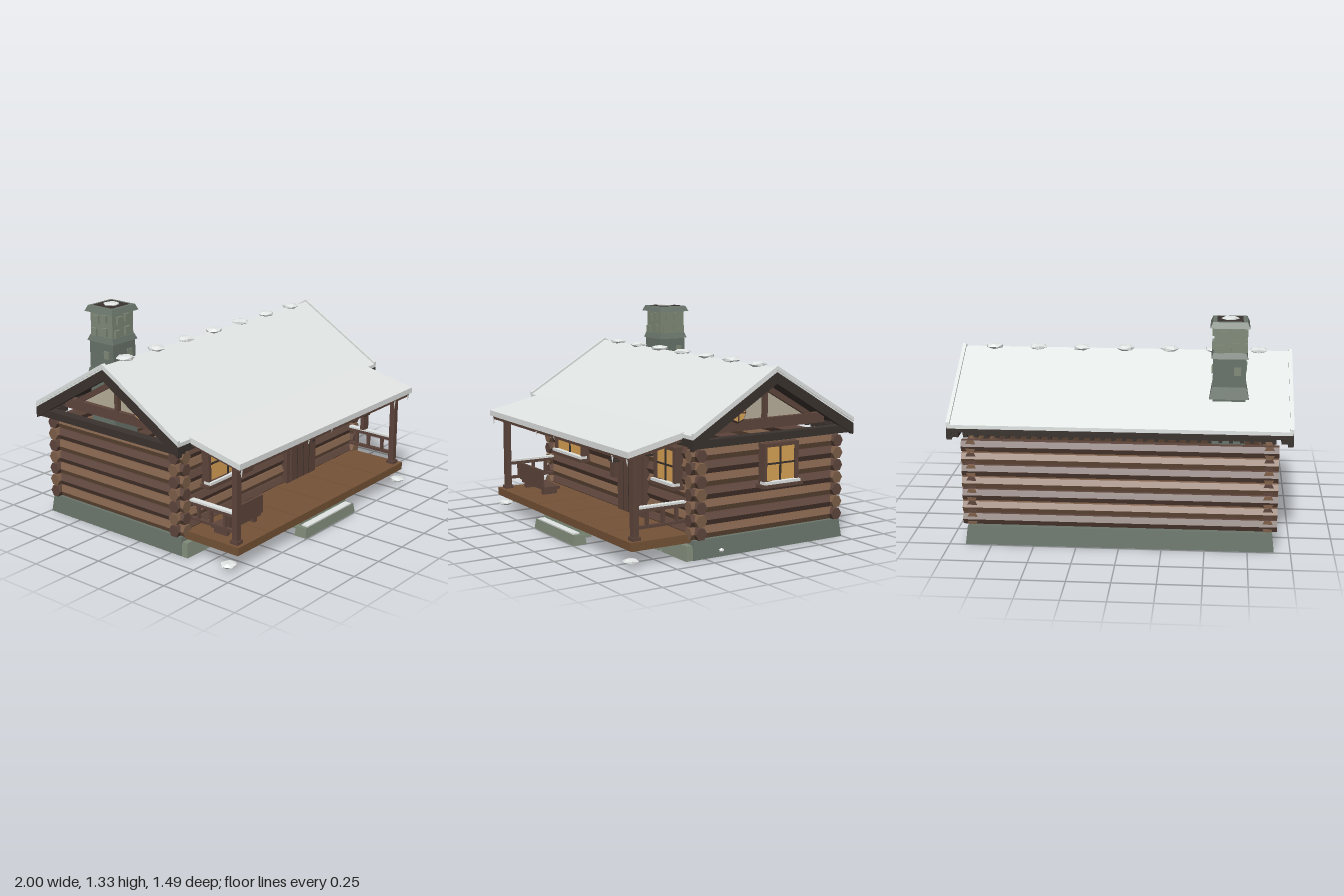
import * as THREE from 'three';

const mats = {};
const mat = (color) => (mats[color] ??= new THREE.MeshStandardMaterial({ color, flatShading: true, side: THREE.DoubleSide }));
const LOGS = [0x5d453b, 0x7d5e48], WOOD = 0x5d453b, DARK = 0x3a322e, DECK = 0x745236, SNOW = 0xe0e4e2;
const STONE = 0x69746a, PALE = 0x7f8a78, GLOW = 0xd9a255, PLASTER = 0xb8ae9a;

export function createModel() {
  const model = new THREE.Group();
  const add = (name, geo, color, x = 0, y = 0, z = 0, parent = model) => {
    const m = new THREE.Mesh(geo, mat(color));
    m.name = name;
    m.position.set(x, y, z);
    parent.add(m);
    return m;
  };
  // box given by its min and max on each axis
  const box = (name, color, [x0, x1], [y0, y1], [z0, z1], parent) =>
    add(name, new THREE.BoxGeometry(x1 - x0, y1 - y0, z1 - z0), color, (x0 + x1) / 2, (y0 + y1) / 2, (z0 + z1) / 2, parent);
  // box with its top face shrunk inward
  const tapered = (name, color, w, h, d, inset, x, y, z) => {
    const g = new THREE.BoxGeometry(w, h, d), p = g.attributes.position;
    for (let i = 0; i < p.count; i++) {
      if (p.getY(i) < 0) continue;
      p.setX(i, p.getX(i) - Math.sign(p.getX(i)) * inset);
      p.setZ(i, p.getZ(i) - Math.sign(p.getZ(i)) * inset);
    }
    return add(name, g, color, x, y, z);
  };
  // outline in (z, y) extruded along x
  const prism = (name, color, pts, x0, x1) => {
    const shape = new THREE.Shape(pts.map(([z, y]) => new THREE.Vector2(-z, y)));
    const g = new THREE.ExtrudeGeometry(shape, { depth: x1 - x0, bevelEnabled: false });
    return add(name, g.rotateY(Math.PI / 2), color, x0);
  };
  const lump = (name, r, x, y, z, turn = 0, squash = 0.33) => {
    const m = add(name, new THREE.IcosahedronGeometry(r, 0), SNOW, x, y, z);
    m.scale.y = squash;
    m.rotation.y = turn;
    return m;
  };

  // Stone base
  tapered('foundation', STONE, 1.81, 0.11, 1.075, 0.013, 0, 0.055, -0.207);
  for (const [x, w] of [[-0.77, 0.27], [-0.46, 0.3], [0.46, 0.3], [0.77, 0.26]])
    tapered('foundationStone', PALE, w, 0.085, 0.06, 0.012, x, 0.0425, 0.345);

  // Log walls: seven rows of six-sided logs with crossing ends
  for (let i = 0; i < 7; i++) {
    const y = 0.149 + i * 0.0745, color = LOGS[i % 2];
    for (const z of [0.285, -0.69])
      add('longLog', new THREE.CylinderGeometry(0.038, 0.038, 1.84, 6).rotateZ(Math.PI / 2), color, 0, y, z);
    for (const x of [-0.865, 0.865])
      add('sideLog', new THREE.CylinderGeometry(0.038, 0.038, 1.06, 6).rotateY(Math.PI / 2).rotateX(Math.PI / 2),
        LOGS[(i + 1) % 2], x, y, -0.19);
  }

  // Main roof: chevrons measured by drop below the snow surface
  const RZ = -0.173;
  const chevron = (top, bottom) => [[0.395, 0.73 - top], [RZ, 1.07 - top], [-0.741, 0.73 - top],
    [-0.741, 0.73 - bottom], [RZ, 1.07 - bottom], [0.395, 0.73 - bottom]];
  prism('roofSnow', SNOW, chevron(0, 0.022), -0.995, 0.995);
  prism('roofBoards', DARK, chevron(0.022, 0.045), -0.985, 0.985);
  for (const s of [-1, 1]) {
    const span = (a, b) => (s > 0 ? [a, b] : [-b, -a]);
    prism('bargeboard', DARK, chevron(0.022, 0.088), ...span(0.965, 0.998));
    prism('snowLip', SNOW, chevron(-0.014, 0.01), ...span(0.978, 1));
    box('tieBeam', DARK, span(0.93, 0.99), [0.655, 0.7], [-0.735, 0.39]);

    // Gable: plaster triangle, framing and round window
    prism('gablePlaster', PLASTER, [[0.27, 0.712], [RZ, 0.965], [-0.616, 0.712]], ...span(0.845, 0.865));
    box('gableSill', WOOD, span(0.85, 0.895), [0.712, 0.772], [-0.6, 0.25]);
    box('kingPost', WOOD, span(0.86, 0.895), [0.77, 0.96], [RZ - 0.012, RZ + 0.012]);
    prism('gableRafters', WOOD, [[0.27, 0.712], [RZ, 0.975], [-0.616, 0.712], [-0.56, 0.712], [RZ, 0.935], [0.13, 0.712]],
      ...span(0.86, 0.89));
    const round = new THREE.Group();
    round.name = 'roundWindow';
    round.position.set(s * 0.905, 0.82, 0.035);
    model.add(round);
    add('roundFrame', new THREE.TorusGeometry(0.052, 0.01, 4, 8).rotateY(Math.PI / 2), WOOD, 0, 0, 0, round);
    add('roundPane', new THREE.CylinderGeometry(0.05, 0.05, 0.02, 8).rotateZ(Math.PI / 2), GLOW, 0, 0, 0, round);
    box('roundBar', WOOD, [-0.014, 0.014], [-0.05, 0.05], [-0.004, 0.004], round);
    box('roundBar', WOOD, [-0.014, 0.014], [-0.004, 0.004], [-0.05, 0.05], round);
  }
  box('frontFascia', DARK, [-0.97, 0.97], [0.66, 0.7], [0.36, 0.385]);
  box('backFascia', DARK, [-0.9, 0.9], [0.672, 0.7], [-0.746, -0.725]);
  for (let i = 0; i < 30; i++) box('rafterTail', DARK, [-0.9 + i * 0.0613, -0.878 + i * 0.0613], [0.655, 0.69], [-0.735, -0.66]);
  for (let i = 0; i < 7; i++) lump('ridgeSnow', 0.058, -0.8 + i * 0.267, 1.075, -0.178, i * 1.3);

  // Porch roof
  const slab = (top, bottom) => [[0.745, 0.66 - top], [0.335, 0.75 - top], [0.335, 0.75 - bottom], [0.745, 0.66 - bottom]];
  prism('porchSnow', SNOW, slab(0, 0.035), -0.89, 0.89);
  prism('porchRoofBoards', WOOD, slab(0.035, 0.055).map(([z, y]) => [z - 0.01, y]), -0.87, 0.87);
  [[-0.86, 0.05], [-0.235, 0.03], [0, 0.02], [0.7, 0.05], [0.86, 0.04]].forEach(([x, h]) =>
    add('icicle', new THREE.ConeGeometry(0.008, h, 5).rotateX(Math.PI), SNOW, x, 0.615 - h / 2, 0.733));

  // Porch deck, steps, posts and railings
  for (let i = 0; i < 6; i++) box('deckBoard', DECK, [-0.86 + i * 0.287, -0.577 + i * 0.287], [0.1, 0.145], [0.3, 0.712]);
  box('deckFrame', DECK, [-0.86, 0.86], [0.095, 0.138], [0.3, 0.708]);
  tapered('lowerStep', PALE, 0.52, 0.06, 0.085, 0.008, 0, 0.03, 0.7025);
  tapered('upperStep', PALE, 0.48, 0.055, 0.08, 0.008, 0, 0.0625, 0.655);
  box('stepSnow', SNOW, [-0.23, 0.23], [0.06, 0.068], [0.69, 0.735]);
  for (const x of [-0.813, 0.813]) {
    box('porchPost', WOOD, [x - 0.018, x + 0.018], [0.145, 0.64], [0.643, 0.68]);
    box('postFoot', WOOD, [x - 0.026, x + 0.026], [0.145, 0.165], [0.635, 0.688]);
    box('handrail', WOOD, [x - 0.016, x + 0.016], [0.3, 0.32], [0.33, 0.65]);
    box('handrailSnow', SNOW, [x - 0.018, x + 0.018], [0.32, 0.332], [0.33, 0.645]);
    box('lowerRail', WOOD, [x - 0.012, x + 0.012], [0.205, 0.222], [0.33, 0.65]);
    for (const z of [0.385, 0.475, 0.58]) box('baluster', WOOD, [x - 0.009, x + 0.009], [0.21, 0.31], [z - 0.009, z + 0.009]);
  }
  lump('groundSnow', 0.055, -0.875, 0.035, 0.655, 0.4);
  lump('groundSnow', 0.05, 0.83, 0.035, 0.695, 1.2);
  lump('baseSnow', 0.018, 0.9, 0.035, 0.135, 0, 0.8);

  // Bench
  box('benchSeat', WOOD, [-0.79, -0.47], [0.178, 0.198], [0.455, 0.57]);
  box('benchBack', WOOD, [-0.79, -0.47], [0.2, 0.31], [0.568, 0.584]);
  for (const x of [-0.76, -0.51]) box('benchLeg', WOOD, [x - 0.015, x + 0.015], [0.145, 0.18], [0.465, 0.56]);

  // Windows, built facing +z and turned onto their wall
  const window_ = (w, h, x, y, z, turn) => {
    const g = new THREE.Group(), a = w / 2, b = h / 2, t = 0.022;
    g.name = 'window';
    g.position.set(x, y, z);
    g.rotation.y = turn;
    model.add(g);
    box('pane', GLOW, [-a, a], [-b, b], [-0.01, 0.02], g);
    for (const s of [-1, 1]) {
      box('frameSide', WOOD, [s * (a + t / 2) - t / 2, s * (a + t / 2) + t / 2], [-b - t, b + t], [-0.02, 0.035], g);
      box('frameRail', WOOD, [-a, a], [s * (b + t / 2) - t / 2, s * (b + t / 2) + t / 2], [-0.02, 0.035], g);
    }
    box('upright', DARK, [-0.005, 0.005], [-b, b], [0.01, 0.027], g);
    box('crossbar', DARK, [-a, a], [-0.005, 0.005], [0.01, 0.027], g);
    box('sillSnow', SNOW, [-a - 0.025, a + 0.025], [-b - 0.016, b * -1], [0, 0.052], g);
    box('sill', WOOD, [-a - 0.04, a + 0.04], [-b - 0.036, -b - 0.016], [-0.02, 0.055], g);
  };
  window_(0.33, 0.205, -0.515, 0.505, 0.332, 0);
  window_(0.185, 0.185, 0.652, 0.515, 0.332, 0);
  window_(0.205, 0.2, 0.915, 0.51, -0.248, Math.PI / 2);

  // Door
  box('doorFrame', WOOD, [0.085, 0.39], [0.145, 0.615], [0.3, 0.345]);
  box('doorLeaf', WOOD, [0.115, 0.36], [0.155, 0.605], [0.3, 0.358]);
  for (let i = 1; i < 4; i++) box('doorGroove', DARK, [0.113 + i * 0.062, 0.116 + i * 0.062], [0.155, 0.605], [0.35, 0.36]);
  for (const x of [0.212, 0.264]) for (const y of [0.545, 0.584]) box('doorPane', GLOW, [x - 0.021, x + 0.021], [y - 0.016, y + 0.016], [0.35, 0.363]);
  box('doorHandle', DARK, [0.33, 0.34], [0.36, 0.4], [0.355, 0.375]);

  // Wall lantern and hanging box
  box('lanternGlass', GLOW, [0.432, 0.468], [0.545, 0.595], [0.335, 0.365]);
  for (const y of [0.535, 0.595]) box('lanternCap', DARK, [0.422, 0.478], [y, y + 0.012], [0.32, 0.372]);
  for (const x of [0.432, 0.468]) box('lanternBar', DARK, [x - 0.004, x + 0.004], [0.54, 0.6], [0.355, 0.368]);
  box('hangingBox', WOOD, [0.5, 0.553], [0.45, 0.54], [0.61, 0.636]);
  box('hangingBoxLid', DARK, [0.495, 0.558], [0.54, 0.55], [0.605, 0.642]);
  box('hangingRod', DARK, [0.523, 0.53], [0.55, 0.64], [0.619, 0.626]);

  // Chimney
  const cx = -0.627, cz = -0.447;
  const course = (name, color, w, y0, y1) => box(name, color, [cx - w / 2, cx + w / 2], [y0, y1], [cz - w / 2, cz + w / 2]);
  course('chimneyStack', STONE, 0.192, 0.1, 1.1);
  course('chimneyTop', PALE, 0.178, 1.1, 1.3);
  tapered('chimneySkirt', STONE, 0.23, 0.07, 0.23, 0.015, cx, 0.9, cz);
  tapered('chimneyBand', STONE, 0.212, 0.035, 0.212, 0.012, cx, 1.12, cz);
  tapered('chimneyCap', STONE, 0.228, 0.035, 0.228, 0.015, cx, 1.3, cz);
  course('chimneyFlue', DARK, 0.15, 1.3, 1.32);
  lump('chimneySnow', 0.055, cx, 1.322, cz, 0.6, 0.22);
  // stones standing proud of each face
  for (let f = 0; f < 4; f++) {
    const face = new THREE.Group();
    face.name = 'chimneyStones';
    face.position.set(cx, 0, cz);
    face.rotation.y = f * Math.PI / 2;
    model.add(face);
    for (const [x, y] of [[-0.035, 1.24], [0.03, 1.25], [0.03, 1.17], [-0.055, 1.16], [0.045, 1.03]])
      box('stone', PALE, [x - 0.02, x + 0.02], [y - 0.024, y + 0.024], [0.08, 0.103], face);
  }
  return model;
}
